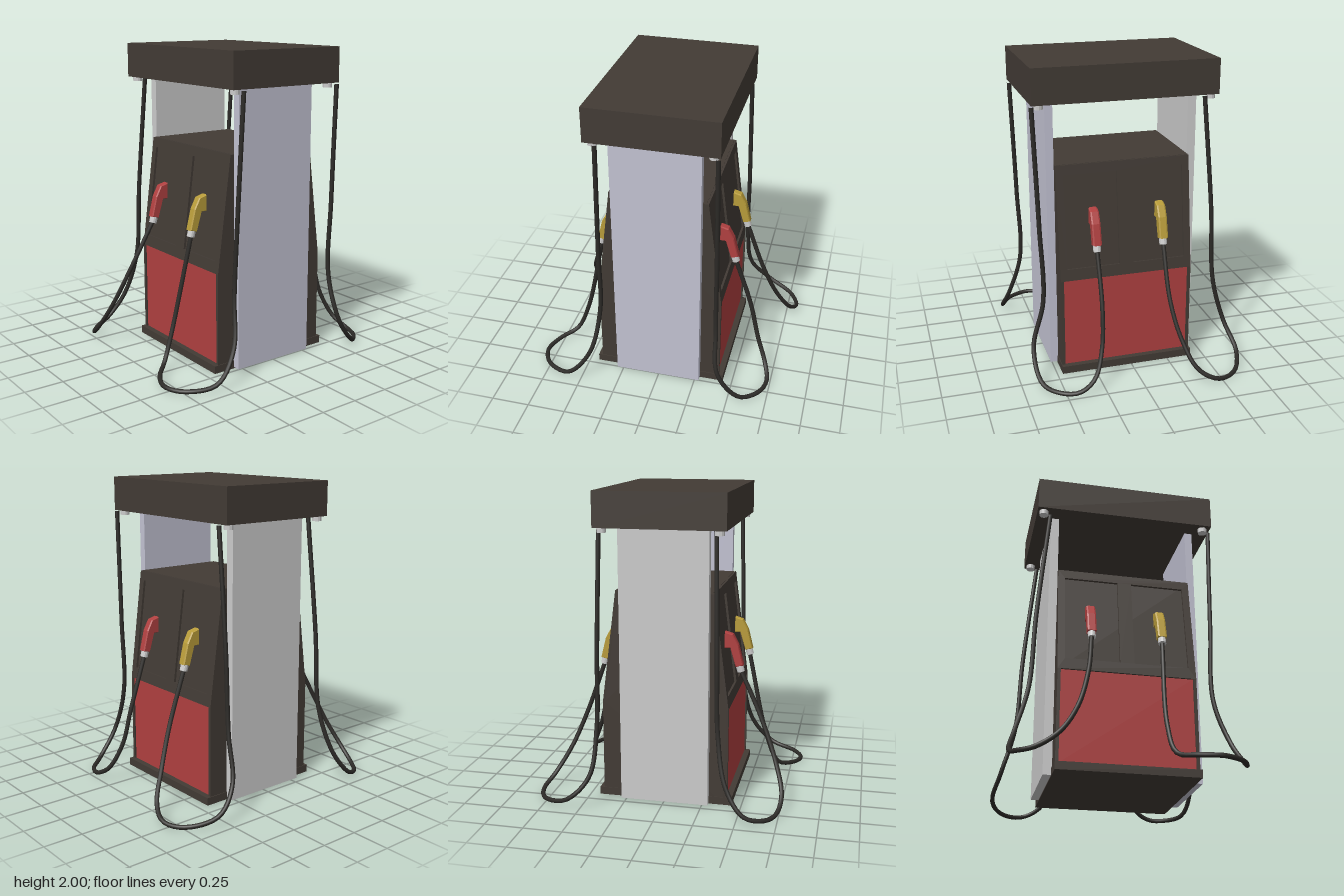
import * as THREE from 'three';

const mat = (color) => new THREE.MeshStandardMaterial({ color, flatShading: true });
const dark = mat(0x423b35), red = mat(0xb04040), yellow = mat(0xb89c3a);
const grey = mat(0xcccccc), lavender = mat(0xc2c2d2);
const rubber = new THREE.MeshStandardMaterial({ color: 0x2c2a27 });

const CX = 0.025, HALF = 0.435;          // cabinet centre and half width
const SILL = 0.64, TOP = 1.375;          // where the slope starts and ends
const Z0 = 0.41, Z1 = 0.315;             // half depth at sill and top

function add(parent, name, geometry, material) {
  const mesh = new THREE.Mesh(geometry, material);
  mesh.name = name;
  parent.add(mesh);
  return mesh;
}

// Box given by its minimum and maximum corners
function box(parent, name, material, [x0, y0, z0], [x1, y1, z1]) {
  const mesh = add(parent, name, new THREE.BoxGeometry(x1 - x0, y1 - y0, z1 - z0), material);
  mesh.position.set((x0 + x1) / 2, (y0 + y1) / 2, (z0 + z1) / 2);
  return mesh;
}

const outline = (pts) => new THREE.Shape(pts.map(([x, y]) => new THREE.Vector2(x, y)));
const rect = (x0, y0, x1, y1) => outline([[x0, y0], [x1, y0], [x1, y1], [x0, y1]]);

// Cabinet face: recessed red panel below, sloped frame with two recesses above
function cabinetFace() {
  const face = new THREE.Group();
  box(face, 'redPanel', red, [-0.415, 0.05, 0.38], [0.415, SILL, 0.4]);
  for (const s of [-1, 1]) {
    const strip = box(face, 'panelEdge', dark, [-0.01, 0, 0.38], [0.01, SILL, Z0]);
    strip.position.x = s * 0.425;
  }
  const length = Math.hypot(TOP - SILL, Z0 - Z1);
  const shape = rect(-HALF, 0, HALF, length);
  for (const s of [-1, 1]) {
    const c = s * 0.2175;
    shape.holes.push(rect(c - 0.172, 0.075, c + 0.172, 0.68));
  }
  const frame = add(face, 'slopedFrame',
    new THREE.ExtrudeGeometry(shape, { depth: 0.018, bevelEnabled: false }).translate(0, 0, -0.018), dark);
  frame.position.set(0, SILL, Z0);
  frame.rotation.x = -Math.atan2(Z0 - Z1, TOP - SILL);
  return face;
}

// Nozzle with a bent body and a metal hose fitting, facing +z
function nozzle(material) {
  const group = new THREE.Group();
  const side = outline([[0.355, 1.095], [0.4, 1.082], [0.436, 1.015], [0.468, 0.888],
    [0.428, 0.877], [0.391, 1.0], [0.355, 1.0]].map(([z, y]) => [-z, y]));
  const geometry = new THREE.ExtrudeGeometry(side,
    { depth: 0.038, bevelThickness: 0.009, bevelSize: 0.005, bevelSegments: 1 });
  geometry.translate(0, 0, -0.019).rotateY(Math.PI / 2);
  add(group, 'nozzleBody', geometry, material);
  const fitting = add(group, 'nozzleFitting', new THREE.CylinderGeometry(0.025, 0.025, 0.045, 12), grey);
  fitting.position.set(0, 0.862, 0.451);
  fitting.rotation.x = -0.28;
  return group;
}

// Hose: out of the nozzle, round its own floor loop, then up to the canopy.
// Points are written for the +x, +z corner and mirrored by sx and sz.
function hoseCurve(x, sx, sz, loop, anchorX, anchorZ) {
  const knee = new THREE.Vector3(0.575, 0.52, (anchorZ + 0.41) / 2);
  const anchor = new THREE.Vector3(anchorX, 1.77, anchorZ);
  const points = [
    new THREE.Vector3(x, 0.86, 0.45),
    ...loop.map((p) => new THREE.Vector3(...p)),
    new THREE.Vector3(0.652, 0.22, 0.435),
    knee,
    knee.clone().lerp(anchor, 0.4).setX(knee.x + (anchorX - knee.x) * 0.3),
    anchor,
  ];
  const mirror = new THREE.Vector3(sx, 1, sz);
  return new THREE.CatmullRomCurve3(points.map((p) => p.multiply(mirror)));
}

// Nozzle offset, corner signs and floor loop of each hose
const pumps = [
  { name: 'frontRed', x: 0.21, sx: -1, sz: 1, material: red, loop: [
    [0.255, 0.55, 0.6], [0.335, 0.28, 0.71], [0.44, 0.11, 0.76],
    [0.56, 0.03, 0.735], [0.65, 0.025, 0.66], [0.69, 0.06, 0.55]] },
  { name: 'frontYellow', x: 0.235, sx: 1, sz: 1, material: yellow, loop: [
    [0.215, 0.25, 0.59], [0.245, 0.065, 0.67], [0.34, 0.03, 0.765],
    [0.47, 0.02, 0.812], [0.6, 0.02, 0.75], [0.685, 0.05, 0.58]] },
  { name: 'backRed', x: 0.235, sx: 1, sz: -1, material: red, loop: [
    [0.235, 0.5, 0.57], [0.255, 0.26, 0.63], [0.32, 0.09, 0.7],
    [0.42, 0.03, 0.73], [0.53, 0.02, 0.695], [0.63, 0.04, 0.58]] },
  { name: 'backYellow', x: 0.2, sx: -1, sz: -1, material: yellow, loop: [
    [0.21, 0.5, 0.58], [0.26, 0.26, 0.68], [0.34, 0.09, 0.775],
    [0.46, 0.025, 0.815], [0.6, 0.02, 0.75], [0.69, 0.07, 0.57]] },
];

export function createModel() {
  const model = new THREE.Group();
  model.name = 'fuelDispenser';

  box(model, 'canopy', dark, [-0.565, 1.778, -0.41], [0.615, 2, 0.41]);
  box(model, 'leftSidePanel', lavender, [0.46, 0.008, -0.28], [0.51, 1.778, 0.29]);
  box(model, 'rightSidePanel', grey, [-0.465, 0.008, -0.28], [-0.41, 1.778, 0.29]);
  box(model, 'plinth', dark, [-0.415, 0, -0.438], [0.465, 0.05, 0.438]);

  // Cabinet core, set slightly behind both faces
  const i = 0.015;
  const core = new THREE.ExtrudeGeometry(outline([[-Z0 + i, 0], [Z0 - i, 0], [Z0 - i, SILL],
    [Z1 - i, TOP], [-Z1 + i, TOP], [-Z0 + i, SILL]]), { depth: HALF * 2, bevelEnabled: false });
  core.translate(0, 0, -HALF).rotateY(Math.PI / 2);
  add(model, 'cabinet', core, dark).position.x = CX;

  // Front and back faces
  for (const [name, angle] of [['frontFace', 0], ['backFace', Math.PI]]) {
    const face = cabinetFace();
    face.name = name;
    face.position.x = CX;
    face.rotation.y = angle;
    model.add(face);
  }

  // Nozzles, hoses and the hose sockets under the canopy
  for (const { name, x, sx, sz, material, loop } of pumps) {
    const handle = nozzle(material);
    handle.name = name + 'Nozzle';
    handle.position.x = sx * x;
    handle.rotation.y = sz > 0 ? 0 : Math.PI;
    model.add(handle);
    const anchorX = sx > 0 ? 0.612 : 0.475;
    const curve = hoseCurve(x, sx, sz, loop, anchorX, sz > 0 ? 0.334 : 0.395);
    add(model, name + 'Hose', new THREE.TubeGeometry(curve, 90, 0.0145, 10), rubber);
    const socket = add(model, name + 'Socket', new THREE.CylinderGeometry(0.03, 0.03, 0.035, 12), grey);
    socket.position.set(sx * anchorX - 0.048, 1.765, sz * 0.362);
  }
  return model;
}
